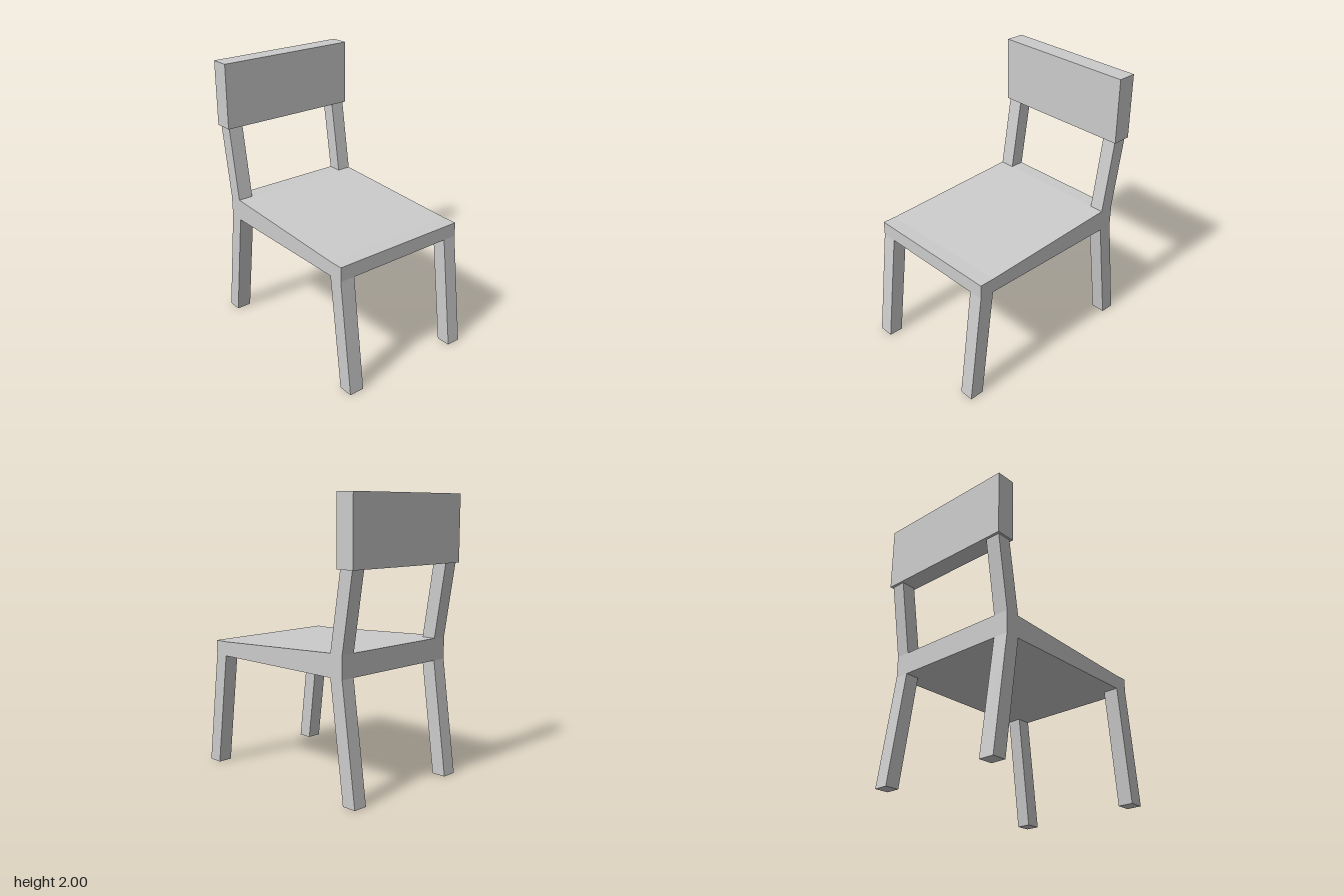
import * as THREE from 'three';

const material = new THREE.MeshStandardMaterial({ color: 0xcccccc, flatShading: true });

// Side profile (x, y) extruded from z0 to z1
function slab(name, points, z0, z1) {
  const shape = new THREE.Shape(points.map(([x, y]) => new THREE.Vector2(x, y)));
  const geometry = new THREE.ExtrudeGeometry(shape, { depth: z1 - z0, bevelEnabled: false });
  geometry.translate(0, 0, z0);
  const mesh = new THREE.Mesh(geometry, material);
  mesh.name = name;
  return mesh;
}

export function createModel() {
  const chair = new THREE.Group();
  chair.name = 'chair';

  // Seat, its top sloping down from the backrest to the free edge
  chair.add(slab('seat', [
    [-0.645, 0.83], [0.65, 0.83], [0.65, 0.935], [0.545, 0.935], [-0.54, 0.99], [-0.645, 0.99],
  ], -0.525, 0.522));

  // Splayed legs and leaning back posts on both sides
  for (const [side, z0, z1] of [['left', 0.41, 0.522], ['right', -0.525, -0.42]]) {
    // The z ranges are the two flanks of the seat
    chair.add(slab(`${side}SeatEdgeLeg`, [[0.648, 0], [0.755, 0], [0.65, 0.83], [0.543, 0.83]], z0, z1));
    chair.add(slab(`${side}BackrestLeg`, [[-0.76, 0], [-0.655, 0], [-0.54, 0.83], [-0.645, 0.83]], z0, z1));
    chair.add(slab(`${side}BackPost`, [[-0.645, 0.99], [-0.54, 0.99], [-0.625, 1.525], [-0.73, 1.525]], z0, z1));
  }

  // Backrest panel
  chair.add(slab('backrest', [[-0.748, 1.525], [-0.608, 1.525], [-0.608, 2], [-0.748, 2]], -0.54, 0.537));

  return chair;
}
